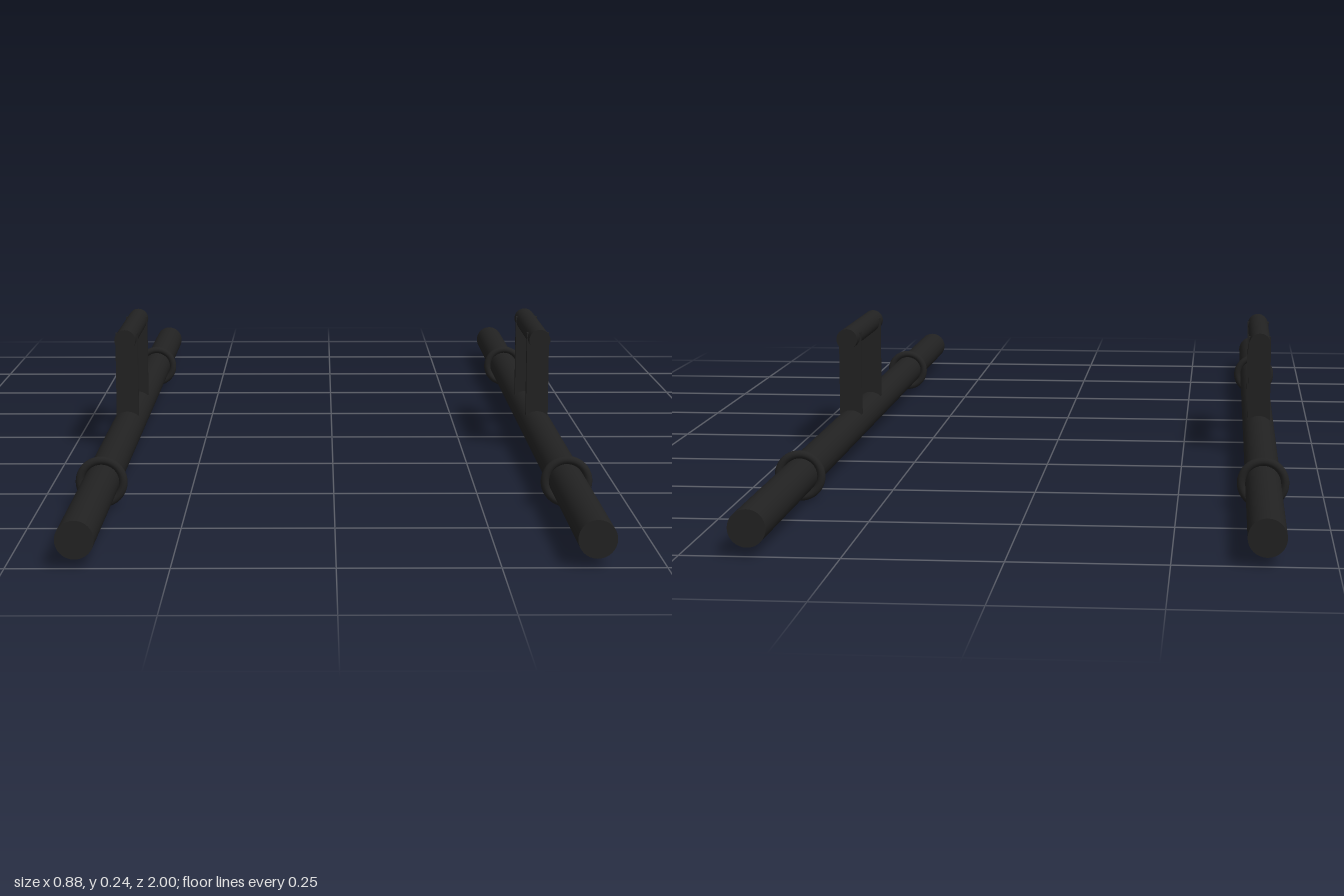
import * as THREE from 'three';

const black = new THREE.MeshStandardMaterial({ color: 0x222222 });
black.name = 'matte black';

const BAR_Y = 0.044, GRIP_Y = 0.217;

// Adds a named mesh at a position
function add(parent, name, geometry, x, y, z) {
  const mesh = new THREE.Mesh(geometry, black);
  mesh.name = name;
  mesh.position.set(x, y, z);
  parent.add(mesh);
}

// Capped rod lying along z
function rod(radius, length, sides) {
  return new THREE.CylinderGeometry(radius, radius, length, sides).rotateX(Math.PI / 2);
}

// One long bar with a raised handle and two ring collars
function createBar(name, x) {
  const bar = new THREE.Group();
  bar.name = name;
  bar.position.x = x;

  add(bar, 'tube', rod(0.03, 2, 32), 0, BAR_Y, 0);
  add(bar, 'grip', rod(0.02, 0.3, 32), 0, GRIP_Y, 0);

  for (const s of [1, -1]) {
    const end = s > 0 ? 'front' : 'back';
    // flat upright from the tube's core into the grip
    const top = 0.226;
    add(bar, end + 'Post', new THREE.BoxGeometry(0.042, top - BAR_Y, 0.013),
      0, (top + BAR_Y) / 2, s * 0.111);
    // ring that stops the weights
    add(bar, end + 'Collar', new THREE.TorusGeometry(0.0368, 0.0072, 12, 40), 0, BAR_Y, s * 0.6);
  }
  return bar;
}

export function createModel() {
  const model = new THREE.Group();
  model.name = 'carryBars';
  model.add(createBar('leftBar', 0.394), createBar('rightBar', -0.394));
  return model;
}
